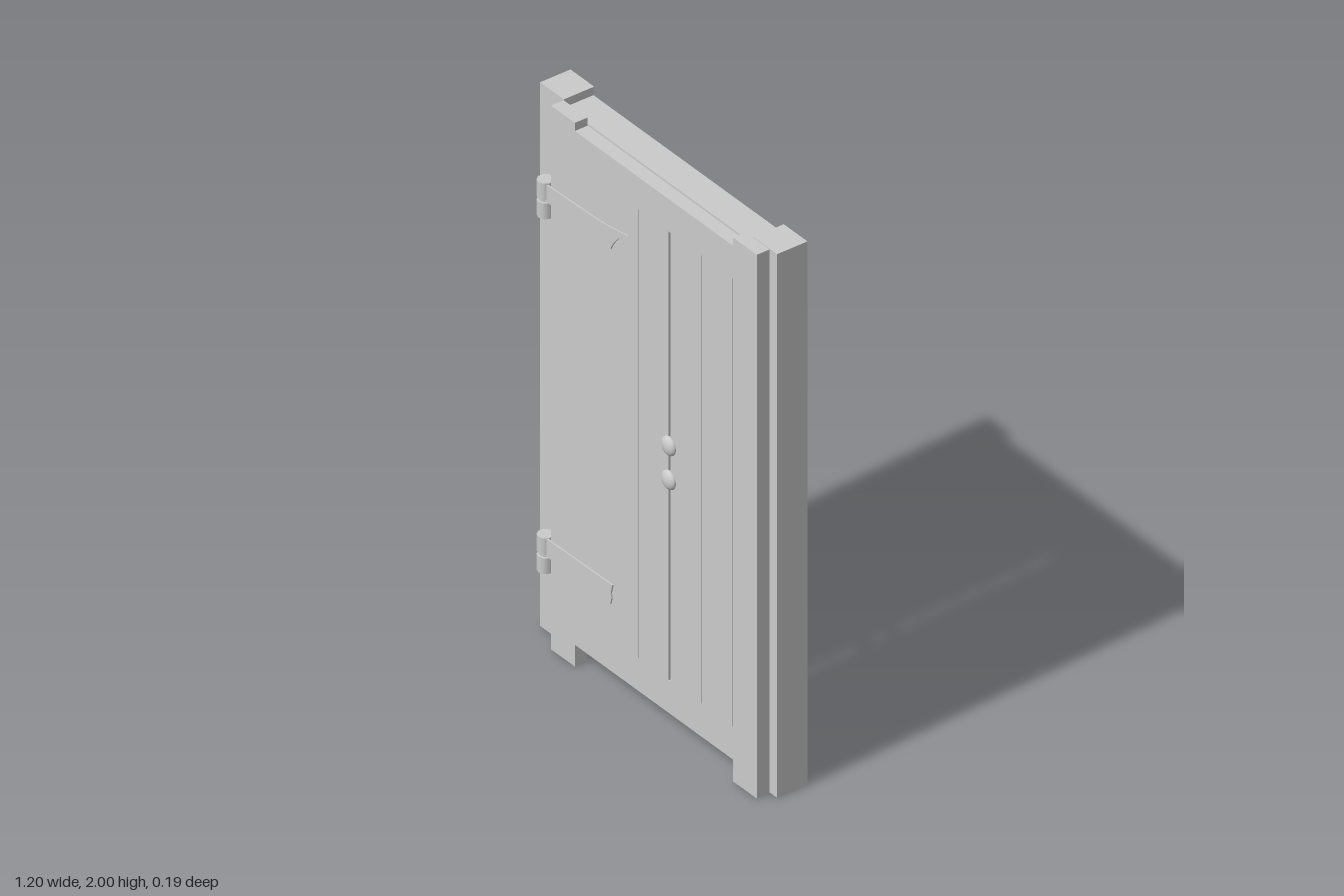
import * as THREE from 'three';

export function createModel() {
  const model = new THREE.Group();
  const material = new THREE.MeshStandardMaterial({ color: 0xcccccc });

  const add = (name, geometry, parent = model) => {
    const mesh = new THREE.Mesh(geometry, material);
    mesh.name = name;
    parent.add(mesh);
    return mesh;
  };
  // Box given by its limits on each axis
  const block = (name, [x0, x1], [y0, y1], [z0, z1], parent) => {
    const mesh = add(name, new THREE.BoxGeometry(x1 - x0, y1 - y0, z1 - z0), parent);
    mesh.position.set((x0 + x1) / 2, (y0 + y1) / 2, (z0 + z1) / 2);
    return mesh;
  };

  // Fixed frame: two posts and a lintel
  const postZ = [-0.095, 0.022];
  block('leftPost', [0.48, 0.6], [0, 2], postZ);
  block('rightPost', [-0.6, -0.48], [0, 2], postZ);
  block('lintel', [-0.48, 0.48], [1.85, 1.97], [-0.092, 0.018]);

  // Door leaf: stiles and rails
  const door = new THREE.Group();
  door.name = 'door';
  model.add(door);
  const doorZ = [0.025, 0.074];
  block('leftStile', [0.444, 0.565], [0, 2], doorZ, door);
  block('rightStile', [-0.477, -0.356], [0, 2], doorZ, door);
  block('topRail', [-0.356, 0.444], [1.85, 1.97], doorZ, door);
  block('bottomRail', [-0.356, 0.444], [0.08, 0.2], doorZ, door);

  // Five upright planks, with a wider open gap beside the knobs
  for (let i = 0; i < 5; i++) {
    const x = -0.356 + i * 0.16;
    const gapLeft = i === 3 ? 0.005 : 0.001;
    const gapRight = i === 2 ? 0.005 : 0.001;
    block('plank', [x + gapLeft, x + 0.16 - gapRight], [0.2, 1.85], doorZ, door);
  }

  // Flattened round knobs
  for (const y of [0.94, 1.065]) {
    const knob = add('knob', new THREE.SphereGeometry(0.034, 16, 12), door);
    knob.scale.z = 0.5;
    knob.position.set(0.122, y, 0.075);
  }

  // Hinge: block on the post, two-part barrel with pin, strap across the door
  const hinge = (name, y, strapShape) => {
    const group = new THREE.Group();
    group.name = name;
    group.position.y = y;
    model.add(group);
    const barrel = (part, radius, y0, y1) => {
      const mesh = add(part, new THREE.CylinderGeometry(radius, radius, y1 - y0, 10), group);
      mesh.position.set(-0.516, (y0 + y1) / 2, 0.065);
    };
    barrel('upperKnuckle', 0.028, 0.07, 0.131);
    barrel('hingePin', 0.02, 0.05, 0.08);
    barrel('lowerKnuckle', 0.028, 0, 0.058);
    block('postBracket', [-0.541, -0.491], [0, 0.055], [0.02, 0.05], group);
    const strap = add('strap', new THREE.ExtrudeGeometry(strapShape, {
      depth: 0.006, bevelEnabled: false, curveSegments: 8,
    }), group);
    strap.position.z = 0.073;
  };

  // Upper strap sweeps up to a point
  const pointed = new THREE.Shape();
  pointed.moveTo(-0.5, 0.064);
  pointed.lineTo(-0.17, 0.06);
  pointed.quadraticCurveTo(-0.145, 0.118, -0.083, 0.155);
  pointed.quadraticCurveTo(-0.17, 0.138, -0.25, 0.134);
  pointed.lineTo(-0.5, 0.126);
  hinge('upperHinge', 1.575, pointed);

  // Lower strap is cut short with a ragged end
  const blunt = new THREE.Shape();
  blunt.moveTo(-0.5, 0.064);
  blunt.lineTo(-0.17, 0.06);
  blunt.lineTo(-0.164, 0.085);
  blunt.lineTo(-0.168, 0.1);
  blunt.lineTo(-0.16, 0.134);
  blunt.lineTo(-0.5, 0.129);
  hinge('lowerHinge', 0.27, blunt);

  return model;
}
